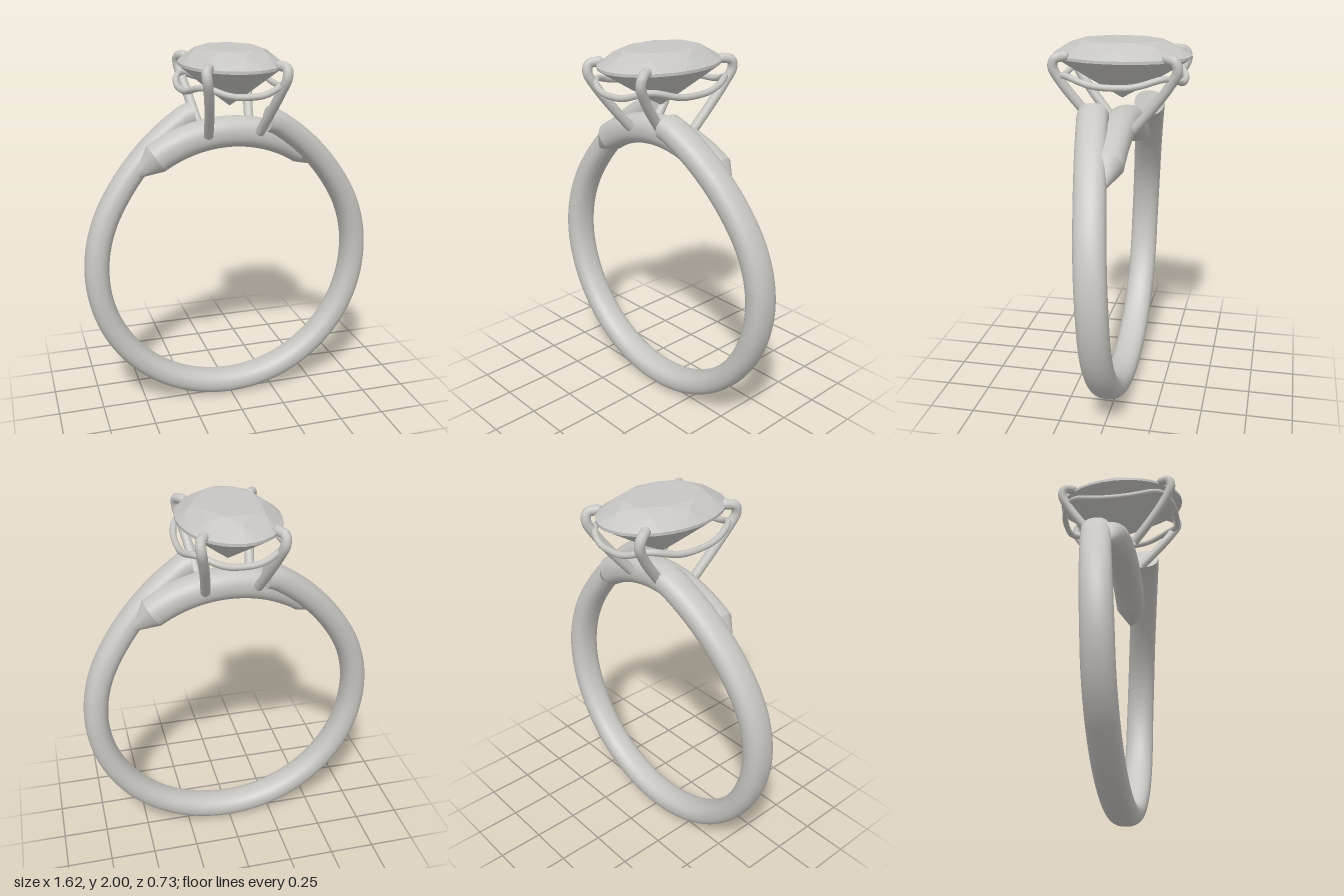
import * as THREE from 'three';
import { toCreasedNormals } from 'three/addons/utils/BufferGeometryUtils.js';

const RING_Y = 0.81; // height of the finger hole's centre
const rad = THREE.MathUtils.degToRad;
const clamp01 = (v) => THREE.MathUtils.clamp(v, 0, 1);

// Sweep a rounded section around the finger hole; at(phi) gives centre radius,
// z offset and half sizes, with phi in degrees clockwise from the top.
function sweep(phis, at, sides = 32, power = 2.3) {
  const pos = [], index = [];
  const round = (v) => Math.sign(v) * Math.abs(v) ** (2 / power);
  for (const phi of phis) {
    const { r, z, hr, hz } = at(phi), s = Math.sin(rad(phi)), c = Math.cos(rad(phi));
    for (let j = 0; j < sides; j++) {
      const a = (j / sides) * Math.PI * 2;
      const d = r + hr * round(Math.cos(a));
      pos.push(d * s, RING_Y + d * c, z + hz * round(Math.sin(a)));
    }
  }
  const last = phis.length - 1;
  for (let i = 0; i < last; i++) {
    for (let j = 0; j < sides; j++) {
      const k = (j + 1) % sides, a = i * sides, b = a + sides;
      index.push(a + j, a + k, b + j, a + k, b + k, b + j);
    }
  }
  // end caps
  for (const i of [0, last]) {
    const { r, z } = at(phis[i]), centre = pos.length / 3;
    pos.push(r * Math.sin(rad(phis[i])), RING_Y + r * Math.cos(rad(phis[i])), z);
    for (let j = 0; j < sides; j++) {
      const a = i * sides + j, b = i * sides + ((j + 1) % sides);
      index.push(centre, ...(i ? [a, b] : [b, a]));
    }
  }
  const geo = new THREE.BufferGeometry();
  geo.setAttribute('position', new THREE.Float32BufferAttribute(pos, 3));
  geo.setIndex(index);
  return toCreasedNormals(geo, 0.42);
}

// Oval brilliant cut: table, star, kite and half facets, girdle, pavilion
function stoneGeometry() {
  const pos = [], centre = new THREE.Vector3(0, 1.87, 0);
  const pt = (deg, s, y) =>
    new THREE.Vector3(0.265 * s * Math.cos(rad(deg)), y, 0.365 * s * Math.sin(rad(deg)));
  const tri = (a, b, c) => {
    const n = b.clone().sub(a).cross(c.clone().sub(a));
    const list = n.dot(a.clone().sub(centre)) > 0 ? [a, b, c] : [a, c, b];
    list.forEach((p) => pos.push(p.x, p.y, p.z));
  };
  const top = new THREE.Vector3(0, 2, 0), culet = new THREE.Vector3(0, 1.695, 0);
  const table = (d) => pt(d, 0.6, 2), mid = (d) => pt(d, 0.76, 1.98);
  const upper = (d) => pt(d, 1, 1.925), lower = (d) => pt(d, 1, 1.91);
  const pav = (d) => pt(d, 0.32, 1.759);
  for (let d = 0; d < 360; d += 45) {
    const t0 = table(d - 22.5), t1 = table(d + 22.5), m = mid(d);
    tri(top, t0, t1);
    tri(t0, t1, m);
    tri(t1, m, upper(d + 22.5));
    tri(t1, mid(d + 45), upper(d + 22.5));
    tri(culet, pav(d), lower(d + 22.5));
    tri(culet, pav(d + 45), lower(d + 22.5));
    for (let g = d - 22.5; g < d + 22; g += 11.25) {
      const h = g + 11.25;
      tri(m, upper(g), upper(h));
      tri(upper(g), upper(h), lower(g));
      tri(upper(h), lower(h), lower(g));
      tri(pav(d), lower(g), lower(h));
    }
  }
  const geo = new THREE.BufferGeometry();
  geo.setAttribute('position', new THREE.Float32BufferAttribute(pos, 3));
  geo.computeVertexNormals();
  return geo;
}

export function createModel() {
  const model = new THREE.Group();
  const metal = new THREE.MeshStandardMaterial({ color: 0xc8c6c2 });
  metal.name = 'metal';
  const gem = new THREE.MeshStandardMaterial({ color: 0xc6c5c3, flatShading: true });
  gem.name = 'gem';
  const add = (name, geo, mat = metal, parent = model) => {
    const mesh = new THREE.Mesh(geo, mat);
    mesh.name = name;
    parent.add(mesh);
    return mesh;
  };

  // Bypass band: its two ends rise and pass each other on opposite sides
  const bandPhis = Array.from({ length: 113 }, (_, i) => 12 + i * 3);
  add('band', sweep(bandPhis, (phi) => {
    const f = Math.min(phi, 360 - phi), side = phi < 180 ? 1 : -1;
    return {
      r: 0.745 + 0.1 * clamp01((60 - f) / 46) ** 2,
      z: side * 0.115 * clamp01((100 - f) / 86) ** 1.7,
      hr: 0.066, hz: 0.082,
    };
  }));

  // Bridge between the band ends, with pointed tips
  const bridgePhis = [-45.5];
  for (let p = -33; p <= 33; p += 3) bridgePhis.push(p);
  bridgePhis.push(45.5);
  add('bridge', sweep(bridgePhis, (phi) => {
    const k = Math.abs(phi) > 34 ? 0.04 : 1;
    return { r: 0.747, z: 0, hr: 0.082 * k, hz: 0.09 * k };
  }));

  // Four claws gripping the stone
  const claws = new THREE.Group();
  claws.name = 'claws';
  model.add(claws);
  const clawPath = [
    [0.14, 1.56, 0.09], [0.162, 1.68, 0.19], [0.187, 1.8, 0.278],
    [0.205, 1.88, 0.318], [0.206, 1.922, 0.305], [0.182, 1.932, 0.262],
  ];
  for (const sx of [1, -1]) {
    for (const sz of [1, -1]) {
      const pts = clawPath.map(([x, y, z]) => new THREE.Vector3(x * sx, y, z * sz));
      add('claw', new THREE.TubeGeometry(new THREE.CatmullRomCurve3(pts), 32, 0.026, 14), metal, claws);
      add('clawTip', new THREE.SphereGeometry(0.026, 14, 10), metal, claws).position.copy(pts[5]);
    }
  }

  // Wavy gallery wire, high at the claws and low between them
  const wire = Array.from({ length: 48 }, (_, i) => {
    const a = (i / 48) * Math.PI * 2, c = Math.cos(a), s = Math.sin(a);
    const bulge = (v) => Math.sign(v) * Math.abs(v) ** 0.7;
    return new THREE.Vector3(0.264 * bulge(c), 1.816 - 0.022 * Math.cos(4 * a), 0.33 * bulge(s));
  });
  add('galleryWire', new THREE.TubeGeometry(new THREE.CatmullRomCurve3(wire, true), 120, 0.017, 10, true));

  add('stone', stoneGeometry(), gem);
  return model;
}
